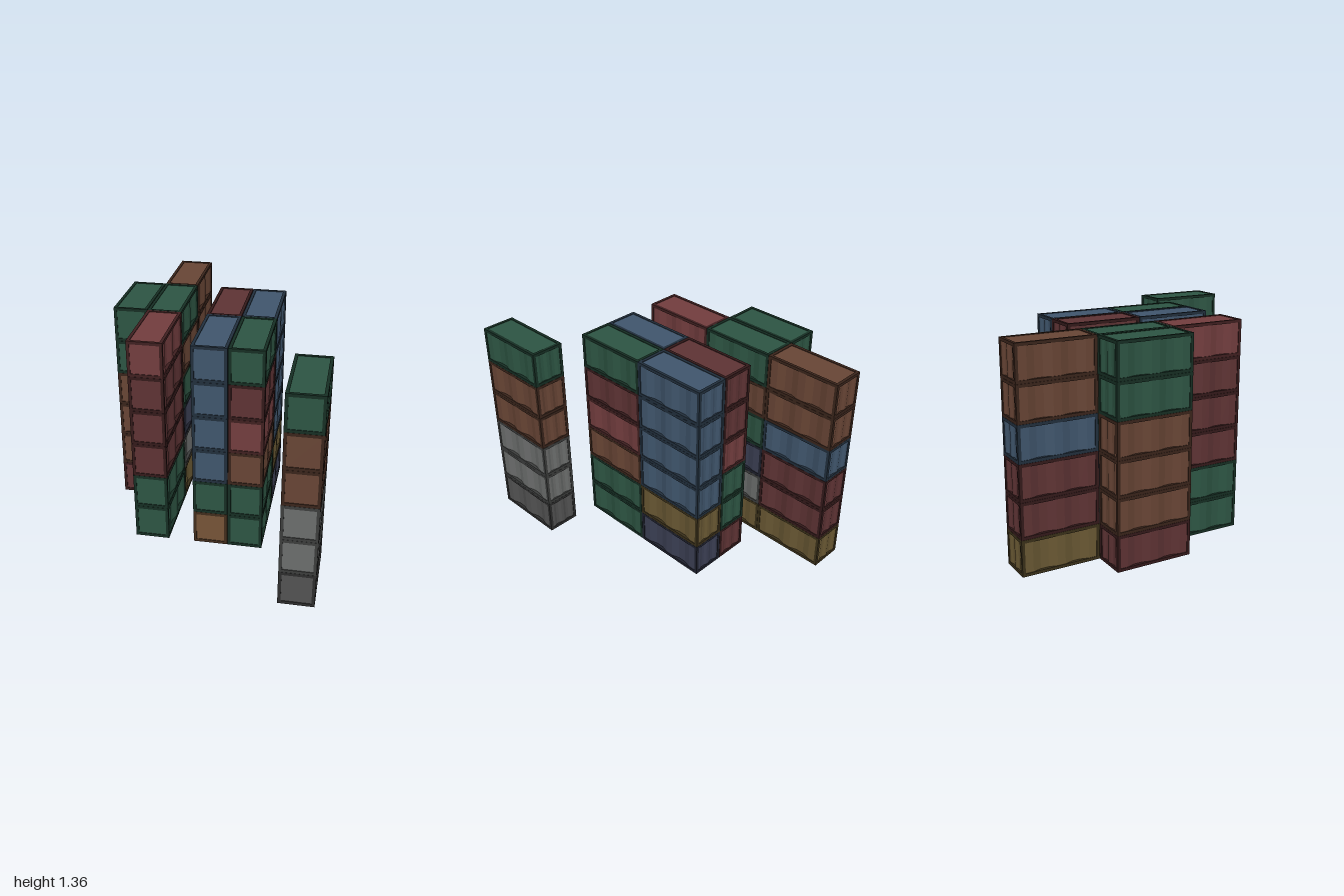
import * as THREE from 'three';
import { mergeGeometries } from 'three/addons/utils/BufferGeometryUtils.js';

const W = 0.217, H = 0.2265, L = 0.498;            // one container
const PITCH_Y = 0.2275, PITCH_Z = 0.5, BAR = 0.019;

const COLORS = {
  green: 0x2d5543, brown: 0x684535, maroon: 0x5e3334, red: 0x723d3e, blue: 0x40566d,
  navy: 0x3b3f54, olive: 0x695833, tan: 0x765438, grey: 0x6c6e6d, slate: 0x535353,
};

// Stacks: x centre, row along z, containers from bottom to top
const STACKS = [
  [-0.6, -0.5, 'maroon brown brown brown green green'],
  [-0.38, -1.5, 'olive maroon maroon blue brown brown'],
  [-0.38, -0.5, 'olive grey navy green brown green'],
  [-0.38, 0.5, 'green green maroon maroon maroon red'],
  [0, -0.5, 'maroon green green red maroon maroon'],
  [0, 0.5, 'tan green blue blue blue blue'],
  [0.22, -0.5, 'navy olive blue blue blue blue'],
  [0.22, 0.5, 'green green brown red maroon green'],
  [0.6, 1.5, 'slate grey grey brown brown green'],
];

// Twelve edge bars and corner posts
function frameGeometry() {
  const bars = [];
  const bar = (sx, sy, sz, x, y, z) => bars.push(new THREE.BoxGeometry(sx, sy, sz).translate(x, y, z));
  const x = (W - BAR) / 2, y = (H - BAR) / 2, z = (L - BAR) / 2;
  for (const a of [-1, 1]) for (const b of [-1, 1]) {
    bar(BAR, H, BAR, a * x, 0, b * z);
    bar(W - 2 * BAR, BAR, BAR, 0, a * y, b * z);
    bar(BAR, BAR, L - 2 * BAR, a * x, b * y, 0);
  }
  return mergeGeometries(bars);
}

// Sheet facing +z, folded into equal flats and slopes
function corrugated(width, height, segments, depth) {
  const g = new THREE.PlaneGeometry(width, height, segments, 1);
  const p = g.attributes.position;
  for (let i = 0; i < p.count; i++) {
    const column = i % (segments + 1);
    p.setZ(i, -depth * (Math.floor(column / 2) % 2));
  }
  const flat = g.toNonIndexed();
  flat.computeVertexNormals();
  return flat;
}

// Ribbed sides and back, plain front and roof, open underneath
function panelGeometry() {
  const inset = 0.004, w = W - 2 * BAR, h = H - 2 * BAR, l = L - 2 * BAR;
  const side = () => corrugated(l, h, 9, 0.015).translate(0, 0, W / 2 - inset);
  return mergeGeometries([
    side().rotateY(Math.PI / 2),
    side().rotateY(-Math.PI / 2),
    corrugated(w, h, 9, 0.007).translate(0, 0, L / 2 - inset).rotateY(Math.PI),
    corrugated(w, h, 1, 0).translate(0, 0, L / 2 - inset),
    corrugated(w, l, 1, 0).rotateX(-Math.PI / 2).translate(0, H / 2 - inset, 0),
  ]);
}

export function createModel() {
  const model = new THREE.Group();
  model.name = 'containerStacks';
  const frameGeo = frameGeometry(), panelGeo = panelGeometry();

  // Each paint has a panel tone and a darker frame tone
  const paints = {};
  for (const [name, hex] of Object.entries(COLORS)) {
    const panel = new THREE.MeshStandardMaterial({ color: hex, side: THREE.DoubleSide });
    const frame = new THREE.MeshStandardMaterial({ color: hex });
    frame.color.multiplyScalar(0.3);
    paints[name] = { panel, frame };
  }

  for (const [x, row, list] of STACKS) {
    const stack = new THREE.Group();
    stack.name = 'stack';
    stack.position.set(x, 0, row * PITCH_Z);
    list.split(' ').forEach((paint, level) => {
      const container = new THREE.Group();
      container.name = 'container';
      container.position.y = H / 2 + level * PITCH_Y;
      const frame = new THREE.Mesh(frameGeo, paints[paint].frame);
      frame.name = 'frame';
      const panels = new THREE.Mesh(panelGeo, paints[paint].panel);
      panels.name = 'panels';
      container.add(frame, panels);
      stack.add(container);
    });
    model.add(stack);
  }
  return model;
}
